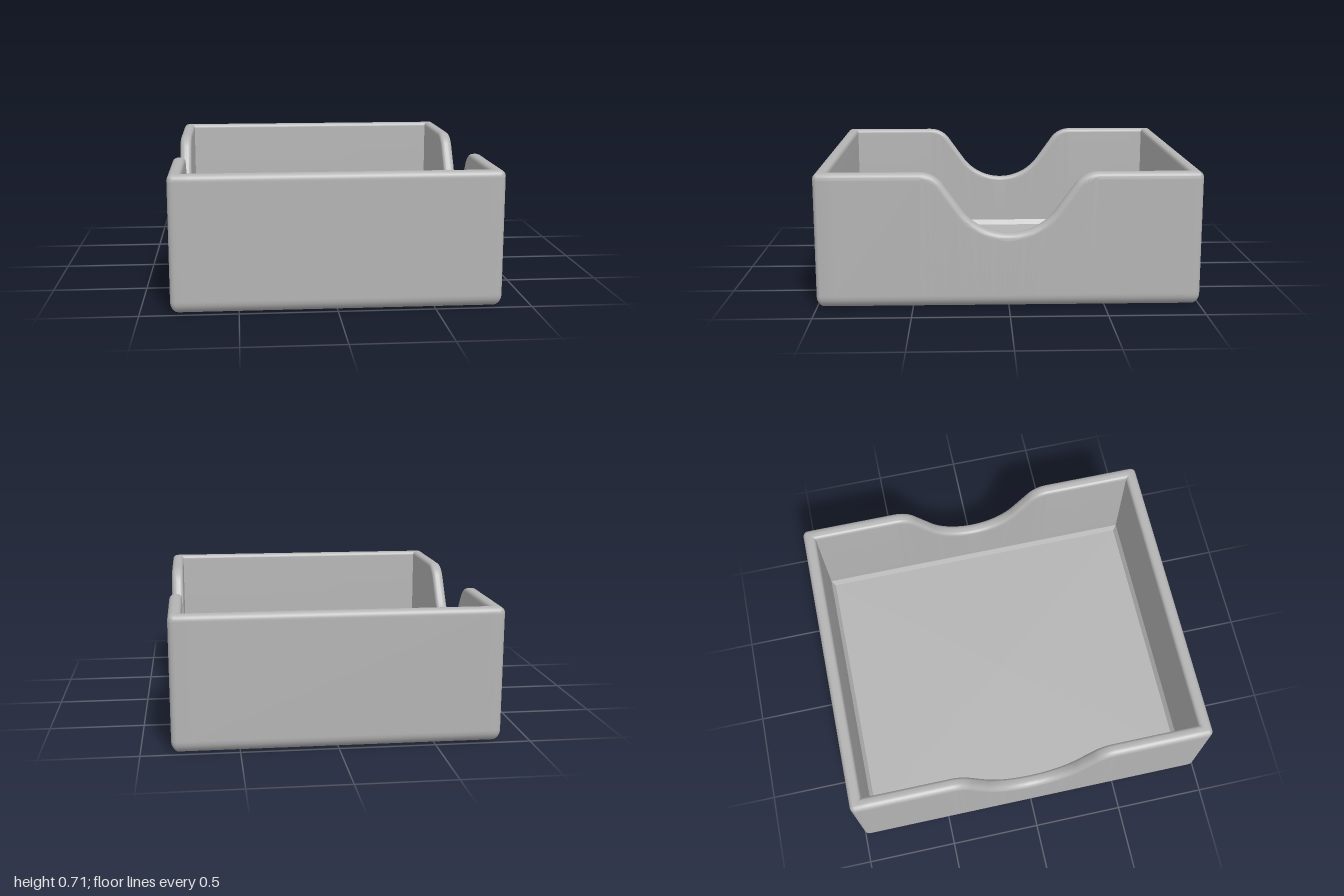
import * as THREE from 'three';
import { toCreasedNormals } from 'three/addons/utils/BufferGeometryUtils.js';

const HX = 0.845, HZ = 1, TOP = 0.71; // outer half sizes and height
const WALL = 0.068, FLOOR = 0.07;
const CORNER = 0.03, FOOT = 0.06, RIM_OUT = 0.03, RIM_IN = 0.022;
const SEG = 6, PAD = 0.008; // PAD: narrow bands that keep the flat faces flat

const steps = (n, f) => Array.from({ length: n + 1 }, (_, i) => f(i / n));

// Half of the finger notch: depth z, rim height y and rim normal
function notchHalf() {
  const A = 0.95, R = 0.3, r = 0.145, low = 0.39;
  const s = Math.sin(A), c = 1 - Math.cos(A);
  const run = (TOP - low - (R + r) * c) / Math.tan(A);
  const end = (R + r) * s + run;
  const lower = steps(12, t => {
    const a = A * t;
    return { z: R * Math.sin(a), y: low + R * (1 - Math.cos(a)), nz: -Math.sin(a), ny: Math.cos(a) };
  });
  const upper = steps(10, t => {
    const a = A * (1 - t);
    return { z: end - r * Math.sin(a), y: TOP - r * (1 - Math.cos(a)), nz: -Math.sin(a), ny: Math.cos(a) };
  });
  return [...lower, ...upper];
}

// Wall section from the underside, over the rim, to the floor:
// d is the inset from the outer face, y the height, e the depth below the rim
function wallSection() {
  const q = Math.PI / 2;
  return [
    { centre: true, y: 0 },
    { d: FOOT + PAD, y: 0 },
    ...steps(SEG, t => ({ d: FOOT * (1 - Math.sin(t * q)), y: FOOT * (1 - Math.cos(t * q)) })),
    { d: 0, y: FOOT + PAD },
    { d: 0, e: RIM_OUT + PAD },
    ...steps(SEG, t => ({ d: RIM_OUT * (1 - Math.cos(t * q)), e: RIM_OUT * (1 - Math.sin(t * q)) })),
    ...steps(SEG, t => ({ d: WALL - RIM_IN * (1 - Math.sin(t * q)), e: RIM_IN * (1 - Math.cos(t * q)) })),
    { d: WALL, e: RIM_IN + PAD },
    { d: WALL, y: FLOOR + 0.03 },
    { d: WALL + 0.02, y: FLOOR },
    { centre: true, y: FLOOR },
  ];
}

// Stations around the box: rounded corners, and notched sides between them
function perimeter() {
  const flat = { y: TOP, nz: 0, ny: 1 };
  const corner = (sx, sz, start) => steps(SEG, t => {
    const a = (start + t) * Math.PI / 2;
    return {
      ...flat,
      at: d => {
        const x = sx * (HX - CORNER), z = sz * (HZ - CORNER);
        return d < CORNER
          ? [x + (CORNER - d) * Math.cos(a), z + (CORNER - d) * Math.sin(a)]
          : [x - sx * (d - CORNER), z - sz * (d - CORNER)];
      },
    };
  });
  const endZ = HZ - WALL - 0.03, endX = HX - WALL - 0.03;
  const half = notchHalf();
  const curve = [
    { ...flat, z: -endZ },
    ...half.slice(1).reverse().map(p => ({ ...p, z: -p.z, nz: -p.nz })),
    ...half,
    { ...flat, z: endZ },
  ];
  const side = s => {
    const row = curve.map(p => ({ ...p, at: d => [s * (HX - d), p.z] }));
    return s > 0 ? row : row.reverse();
  };
  const end = s => [endX, -endX].map(x => ({ ...flat, at: d => [s * x, s * (HZ - d)] }));
  return [
    ...corner(1, 1, 0), ...end(1),
    ...corner(-1, 1, 1), ...side(-1),
    ...corner(-1, -1, 2), ...end(-1),
    ...corner(1, -1, 3), ...side(1),
  ];
}

function trayGeometry() {
  const section = wallSection(), ring = perimeter();
  const n = section.length, positions = [], index = [];
  ring.forEach((s, i) => {
    const next = (i + 1) % ring.length;
    section.forEach((p, j) => {
      if (p.centre) positions.push(0, p.y, 0);
      else {
        const [x, z] = s.at(p.d);
        if (p.e === undefined) positions.push(x, p.y, z);
        else positions.push(x, s.y - p.e * s.ny, z - p.e * s.nz);
      }
      if (j < n - 1) {
        const a = i * n + j, c = next * n + j;
        index.push(a, a + 1, c, c, a + 1, c + 1);
      }
    });
  });
  const geometry = new THREE.BufferGeometry();
  geometry.setAttribute('position', new THREE.Float32BufferAttribute(positions, 3));
  geometry.setIndex(index);
  return toCreasedNormals(geometry, 0.5);
}

export function createModel() {
  const grey = new THREE.MeshStandardMaterial({ color: 0xb4b4b4 });
  grey.name = 'grey';
  const tray = new THREE.Mesh(trayGeometry(), grey);
  tray.name = 'notchedTray';
  const group = new THREE.Group();
  group.name = 'openTray';
  group.add(tray);
  return group;
}
